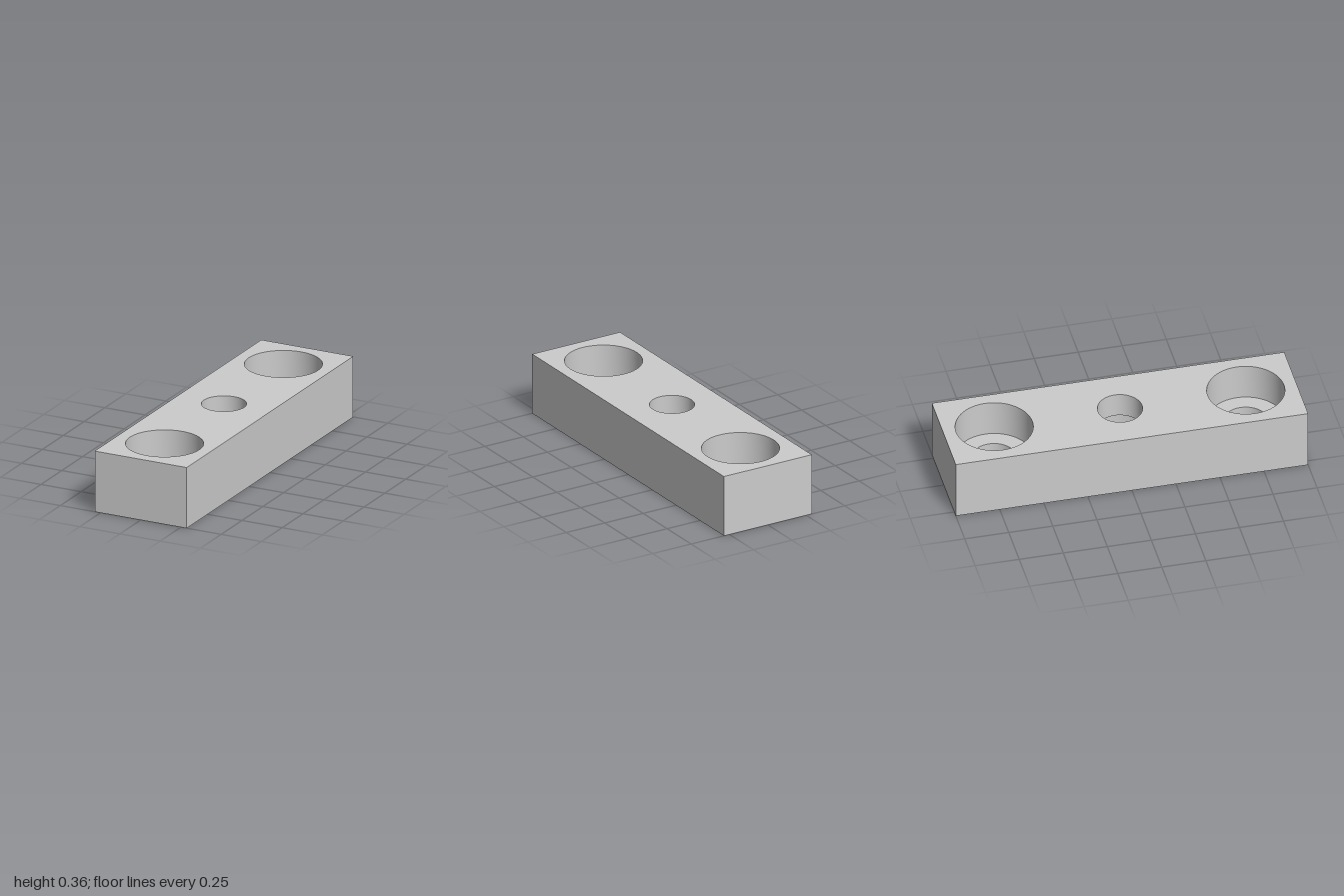
import * as THREE from 'three';
import { toCreasedNormals } from 'three/addons/utils/BufferGeometryUtils.js';

const W = 0.572, H = 0.357, L = 2;          // block size
const R = 0.216, r = 0.125, DEPTH = 0.214;  // counterbore, through hole, counterbore depth
const END = 0.714;                          // offset of the end holes
const SEGMENTS = 64;

export function createModel() {
  const model = new THREE.Group();
  model.name = 'mountingBlock';
  const grey = new THREE.MeshStandardMaterial({ color: 0xcccccc });
  grey.name = 'plainGrey';

  const add = (name, geometry) => {
    const mesh = new THREE.Mesh(geometry, grey);
    mesh.name = name;
    model.add(mesh);
    return mesh;
  };

  // Flat face pierced by three holes, in the XY plane facing +z
  const piercedFace = (endRadius, middleRadius) => {
    const shape = new THREE.Shape();
    shape.moveTo(-W / 2, -L / 2);
    shape.lineTo(W / 2, -L / 2);
    shape.lineTo(W / 2, L / 2);
    shape.lineTo(-W / 2, L / 2);
    shape.closePath();
    for (const [y, radius] of [[-END, endRadius], [0, middleRadius], [END, endRadius]]) {
      shape.holes.push(new THREE.Path().absarc(0, y, radius, 0, Math.PI * 2, true));
    }
    return new THREE.ShapeGeometry(shape, SEGMENTS / 2);
  };
  add('topFace', piercedFace(R, r).rotateX(-Math.PI / 2).translate(0, H, 0));
  add('bottomFace', piercedFace(r, R).rotateX(Math.PI / 2));

  // Outer walls
  ['front', 'left', 'back', 'right'].forEach((side, i) => {
    const across = i % 2 ? L : W;
    const out = i % 2 ? W / 2 : L / 2;
    add(side + 'Wall', new THREE.PlaneGeometry(across, H)
      .translate(0, H / 2, out).rotateY(i * Math.PI / 2));
  });

  // Stepped bore, wide end up; the profile runs downward so its walls face inward
  const profile = [[R, H], [R, H - DEPTH], [r, H - DEPTH], [r, 0]]
    .map(([x, y]) => new THREE.Vector2(x, y));
  const bore = () => toCreasedNormals(new THREE.LatheGeometry(profile, SEGMENTS), 0.6);
  add('frontBore', bore().translate(0, 0, END));
  add('backBore', bore().translate(0, 0, -END));
  // The middle bore is the same, opened from below
  add('middleBore', bore().rotateX(Math.PI).translate(0, H, 0));

  return model;
}
